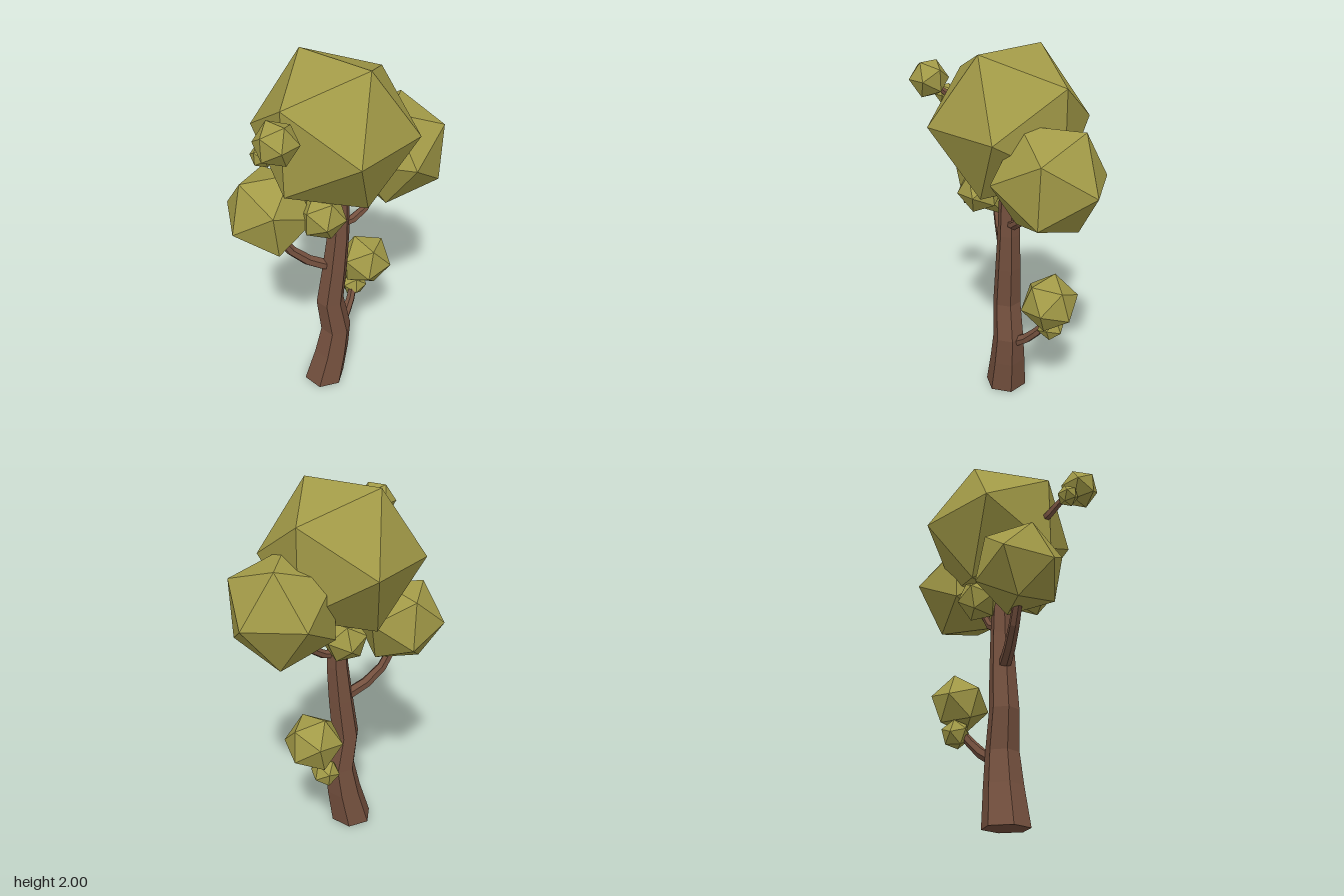
import * as THREE from 'three';

const V = (p) => new THREE.Vector3(...p);

// Icosahedron with one corner on +z and the next corner leaning to +x
function baseBlob() {
  const g = new THREE.IcosahedronGeometry(1, 0);
  g.rotateX(Math.atan(2 / (1 + Math.sqrt(5))));
  g.rotateZ(Math.PI / 2);
  return g;
}

// Leaf clump turned so that one corner points along pole and a neighbour lies towards side
function leafClump(name, material, centre, radius, pole = [0, 0, 1], side = [1, 0, 0]) {
  const z = V(pole).normalize();
  const x = V(side).addScaledVector(z, -V(side).dot(z)).normalize();
  const y = new THREE.Vector3().crossVectors(z, x);
  const mesh = new THREE.Mesh(baseBlob(), material);
  mesh.quaternion.setFromRotationMatrix(new THREE.Matrix4().makeBasis(x, y, z));
  mesh.position.set(...centre);
  mesh.scale.setScalar(radius);
  mesh.name = name;
  return mesh;
}

// Six-sided tapering limb lofted through rings of [x, y, z, radius]
function limb(name, material, rings, level = false) {
  const sides = 6;
  const up = new THREE.Vector3(0, 1, 0);
  const centres = rings.map((r) => V(r.slice(0, 3)));
  const loops = rings.map((r, i) => {
    const next = centres[Math.min(i + 1, rings.length - 1)];
    const last = centres[Math.max(i - 1, 0)];
    const along = level ? up : next.clone().sub(last).normalize();
    const turn = new THREE.Quaternion().setFromUnitVectors(up, along);
    return Array.from({ length: sides }, (_, j) => {
      const a = (j / sides) * Math.PI * 2;
      return V([Math.cos(a) * r[3], 0, Math.sin(a) * r[3]]).applyQuaternion(turn).add(centres[i]);
    });
  });
  const points = [];
  const end = rings.length - 1;
  for (let j = 0; j < sides; j++) {
    const k = (j + 1) % sides;
    for (let i = 0; i < end; i++) {
      const [a, b, c, d] = [loops[i][j], loops[i + 1][j], loops[i + 1][k], loops[i][k]];
      points.push(a, b, d, b, c, d);
    }
    points.push(centres[0], loops[0][j], loops[0][k]);
    points.push(centres[end], loops[end][k], loops[end][j]);
  }
  const g = new THREE.BufferGeometry().setFromPoints(points);
  g.computeVertexNormals();
  const mesh = new THREE.Mesh(g, material);
  mesh.name = name;
  return mesh;
}

export function createModel() {
  const bark = new THREE.MeshStandardMaterial({ color: 0x74503e });
  bark.name = 'bark brown';
  const leaf = new THREE.MeshStandardMaterial({ color: 0xa29a47 });
  leaf.name = 'leaf olive';
  bark.flatShading = leaf.flatShading = true;

  const tree = new THREE.Group();
  tree.name = 'tree';

  // Trunk and branches
  tree.add(
    limb('trunk', bark, [
      [-0.1, 0, -0.012, 0.12], [-0.053, 0.21, -0.01, 0.102], [-0.027, 0.38, -0.008, 0.088],
      [-0.06, 0.59, -0.008, 0.079], [-0.032, 0.82, -0.007, 0.071],
      [-0.012, 1.03, -0.006, 0.062], [-0.002, 1.34, -0.005, 0.05],
    ], true),
    limb('rightBranch', bark, [
      [-0.04, 0.83, -0.01, 0.034], [-0.1, 0.85, -0.01, 0.033], [-0.18, 0.89, -0.015, 0.031],
      [-0.27, 0.97, -0.02, 0.028], [-0.335, 1.08, -0.02, 0.025],
    ]),
    limb('leftBranch', bark, [
      [0.02, 1.1, -0.008, 0.026], [0.07, 1.11, -0.012, 0.025],
      [0.14, 1.155, -0.025, 0.023], [0.21, 1.27, -0.05, 0.02],
    ]),
    limb('lowBranch', bark, [
      [0.02, 0.36, -0.05, 0.032], [0.06, 0.395, -0.09, 0.029],
      [0.1, 0.45, -0.13, 0.026], [0.14, 0.53, -0.19, 0.023],
    ]),
    limb('topBranch', bark, [
      [-0.27, 1.58, 0.1, 0.025], [-0.335, 1.62, 0.155, 0.023],
      [-0.375, 1.69, 0.21, 0.02], [-0.39, 1.75, 0.28, 0.016],
    ]),
  );

  // Leaf clumps
  tree.add(
    leafClump('crownLeaves', leaf, [-0.026, 1.64, -0.02], 0.42),
    leafClump('leftLeaves', leaf, [0.323, 1.444, -0.118], 0.296, [0.227, 0.151, 0.118], [0.257, -0.014, -0.147]),
    leafClump('rightLeaves', leaf, [-0.366, 1.239, -0.02], 0.242, [-0.148, 0.191, 0.02], [-0.214, -0.039, 0.105]),
    leafClump('lowLeaves', leaf, [0.198, 0.695, -0.175], 0.158, [-0.048, 0.145, -0.045], [-0.134, 0.055, 0.07]),
    leafClump('lowSmallLeaves', leaf, [0.145, 0.51, -0.205], 0.079, [-0.1, -0.3, 1], [1, 0.3, 0]),
    leafClump('frontLeaves', leaf, [-0.13, 1.248, 0.118], 0.125, [-0.1, -0.1, 1], [1, 0, 0]),
    leafClump('backLeaves', leaf, [0.003, 1.235, -0.13], 0.12, [0.1, -0.2, -1], [1, 0.2, 0]),
    leafClump('topSmallLeaves', leaf, [-0.385, 1.795, 0.325], 0.106),
    leafClump('topTinyLeaves', leaf, [-0.43, 1.7, 0.235], 0.058),
  );
  return tree;
}
